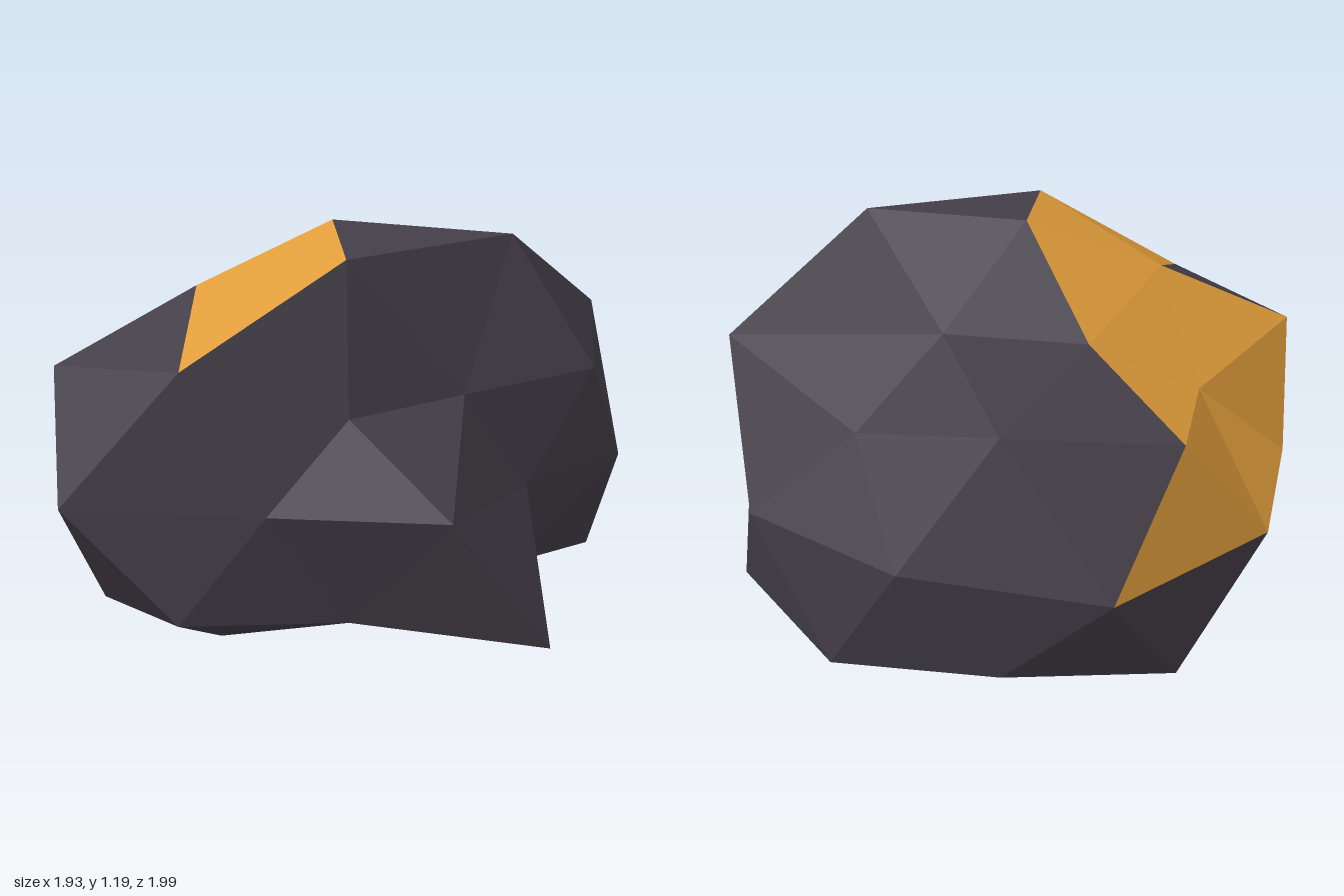
import * as THREE from 'three';

// Faceted boulder: a once-divided icosphere standing on its pole, each vertex
// pushed in or out, squashed in height and cut flat at the ground.
const CENTRE = new THREE.Vector3(0, 0.42, 0.08);
const SQUASH = 0.8;

// Horizontal reach of each vertex, ring by ring, counter-clockwise from the front
const EQUATOR = [0.88, 0.69, 0.94, 0.99, 0.96, 1.08, 0.96, 0.85, 1.02, 0.77];
const UPPER = {
  sign: 1, start: -18, shift: 0,
  cap: [0.54, 0.57, 0.39, 0.37, 0.45],
  corner: [0.65, 0.83, 0.77, 0.88, 0.90],
  mid: [0.60, 0.95, 0.85, 0.59, 0.81],
};
const LOWER = {
  sign: -1, start: 18, shift: 1,
  cap: [0.42, 0.45, 0.45, 0.44, 0.62],
  corner: [0.96, 0.96, 0.88, 0.66, 0.83],
  mid: [0.61, 0.92, 0.88, 0.76, 0.67],
};

// Vertex from compass angle, horizontal reach and slope; never below ground
function point(degrees, reach, slope) {
  const a = THREE.MathUtils.degToRad(degrees);
  return new THREE.Vector3(
    CENTRE.x + reach * Math.sin(a),
    Math.max(0, CENTRE.y + reach * slope * SQUASH),
    CENTRE.z + reach * Math.cos(a)
  );
}

// Eight triangles for each of the five sectors of one half
function halfSectors({ sign, start, shift, cap, corner, mid }) {
  const ring = (list, slope, offset) =>
    list.map((r, k) => point(start + offset + 72 * k, r, sign * slope));
  const A = ring(cap, 1.618, 0);
  const U = ring(corner, 0.5, 0);
  const M = ring(mid, 0.618, 36);
  const E = EQUATOR.map((r, j) => point(36 * j, r, 0));
  const pole = new THREE.Vector3(0, sign > 0 ? 1.19 : 0, CENTRE.z);
  const sectors = [];
  for (let k = 0; k < 5; k++) {
    const n = (k + 1) % 5;
    const e = (i) => E[(2 * k + shift + i + 10) % 10];
    const faces = [
      [pole, A[k], A[n]],
      [A[k], M[k], A[n]],
      [A[k], U[k], M[k]],
      [A[n], M[k], U[n]],
      [U[k], e(-1), e(0)],
      [U[k], e(0), M[k]],
      [M[k], e(0), e(1)],
      [M[k], e(1), U[n]],
    ];
    sectors.push(sign > 0 ? faces : faces.map(([a, b, c]) => [a, c, b]));
  }
  return sectors;
}

// Unshared corners keep every facet flat
function facetMesh(name, faces, material) {
  const geometry = new THREE.BufferGeometry().setFromPoints(faces.flat());
  geometry.computeVertexNormals();
  const mesh = new THREE.Mesh(geometry, material);
  mesh.name = name;
  return mesh;
}

export function createModel() {
  const stone = new THREE.MeshStandardMaterial({ color: 0x443e48 });
  stone.name = 'dark stone';
  const ore = new THREE.MeshStandardMaterial({ color: 0xdf9c3a });
  ore.name = 'golden ore';

  // The ore patch fills one upper sector and the top of the next
  const oreFaces = [];
  const stoneFaces = halfSectors(LOWER).flat();
  halfSectors(UPPER).forEach((sector, k) => {
    sector.forEach((face, i) => {
      const isOre = k === 3 || (k === 4 && i < 2);
      (isOre ? oreFaces : stoneFaces).push(face);
    });
  });

  const group = new THREE.Group();
  group.name = 'oreBoulder';
  group.add(facetMesh('rockBody', stoneFaces, stone));
  group.add(facetMesh('orePatch', oreFaces, ore));
  return group;
}
